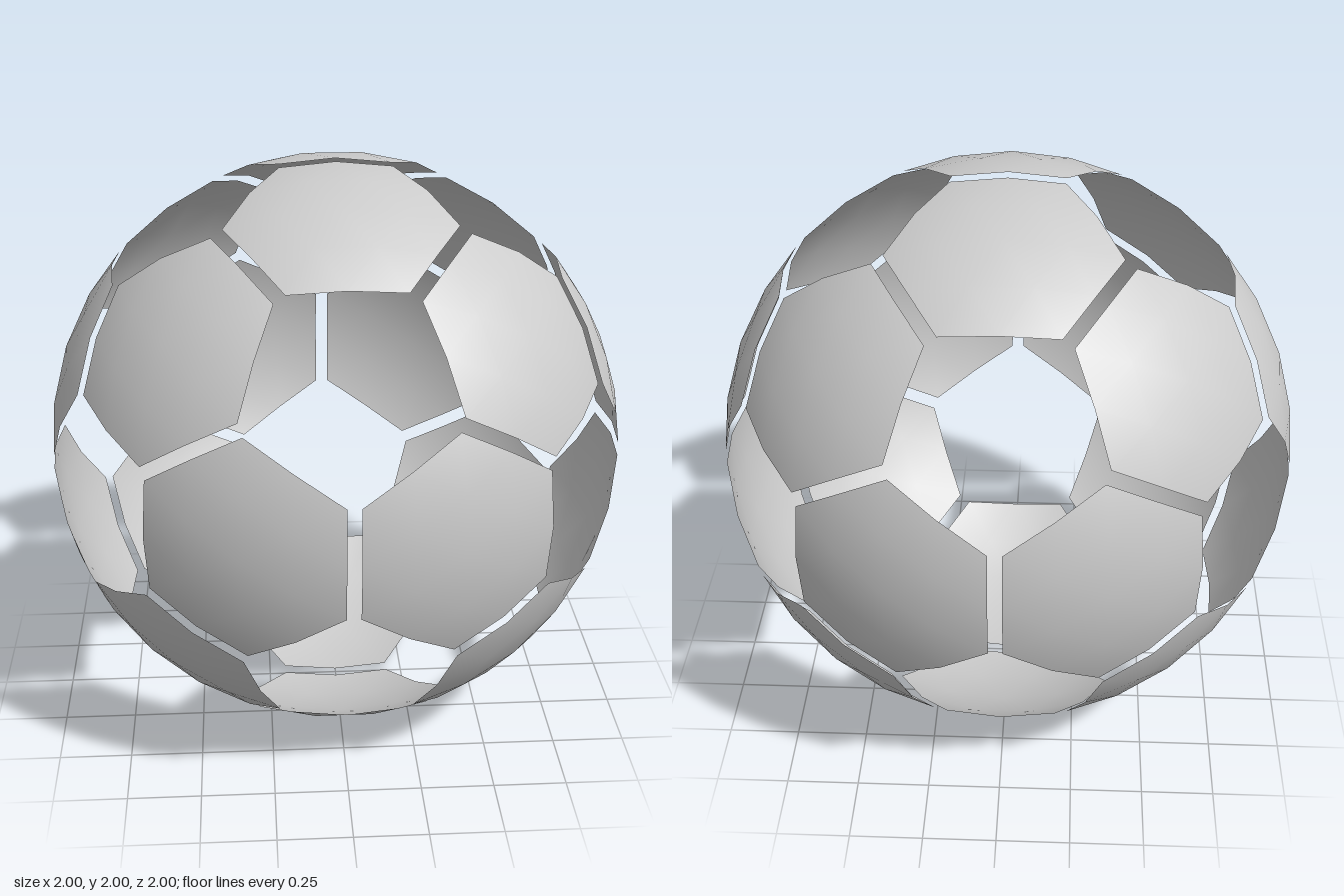
import * as THREE from 'three';

const PHI = (1 + Math.sqrt(5)) / 2;
const HEX_RADIUS = 0.38; // slightly shrunk, leaving a seam between panels
const SPLITS = 2;        // subdivisions per hexagon side

// The 20 panel directions are the corners of a dodecahedron.
function panelDirections() {
  const dirs = [];
  for (const a of [-1, 1]) for (const b of [-1, 1]) {
    const s = a / PHI, l = b * PHI;
    dirs.push([s, 0, l], [l, s, 0], [0, l, s], [a, b, 1], [a, b, -1]);
  }
  return dirs.map((d) => new THREE.Vector3(...d).normalize());
}

// Hexagon in the xy plane (sides facing +x), subdivided and domed onto the unit sphere.
function domedHexagon() {
  const height = Math.sqrt(1 - HEX_RADIUS ** 2);
  const positions = [];
  const corner = (k) => {
    const t = Math.PI / 6 + k * Math.PI / 3;
    return new THREE.Vector3(Math.cos(t), Math.sin(t), 0).multiplyScalar(HEX_RADIUS);
  };
  for (let k = 0; k < 6; k++) {
    const a = corner(k), b = corner(k + 1);
    const add = (i, j) => {
      const p = new THREE.Vector3(0, 0, height)
        .addScaledVector(a, i / SPLITS).addScaledVector(b, j / SPLITS).normalize();
      positions.push(p.x, p.y, p.z);
    };
    for (let i = 0; i < SPLITS; i++) for (let j = 0; i + j < SPLITS; j++) {
      add(i, j); add(i + 1, j); add(i, j + 1);
      if (i + j < SPLITS - 1) { add(i + 1, j); add(i + 1, j + 1); add(i, j + 1); }
    }
  }
  const geo = new THREE.BufferGeometry();
  geo.setAttribute('position', new THREE.Float32BufferAttribute(positions, 3));
  // on a unit sphere the smooth normal equals the position
  geo.setAttribute('normal', new THREE.Float32BufferAttribute(positions, 3));
  return geo;
}

export function createModel() {
  const ball = new THREE.Group();
  ball.name = 'ball';
  const material = new THREE.MeshStandardMaterial({ color: 0xcccccc, side: THREE.DoubleSide });
  const geometry = domedHexagon();
  const dirs = panelDirections();

  dirs.forEach((dir, i) => {
    // turn one side of the hexagon toward its nearest neighbour
    const neighbour = dirs.filter((d) => d !== dir)
      .reduce((best, d) => (d.dot(dir) > best.dot(dir) ? d : best));
    const u = neighbour.clone().addScaledVector(dir, -neighbour.dot(dir)).normalize();
    const v = dir.clone().cross(u);
    const panel = new THREE.Mesh(geometry, material);
    panel.name = `hexagonPanel${i + 1}`;
    panel.quaternion.setFromRotationMatrix(new THREE.Matrix4().makeBasis(u, v, dir));
    panel.position.y = 1;
    ball.add(panel);
  });
  return ball;
}
